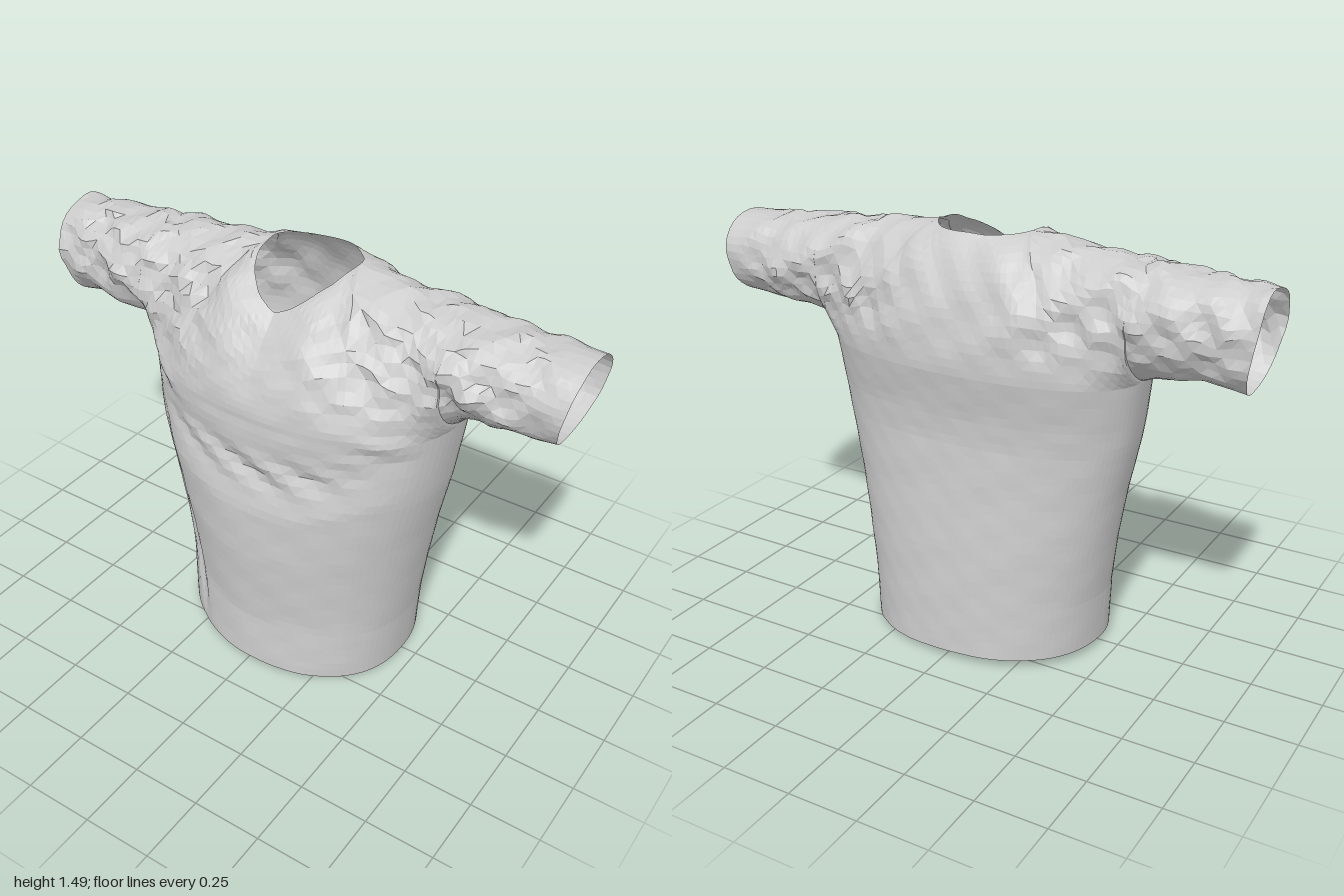
import * as THREE from 'three';

const { lerp, smoothstep, clamp } = THREE.MathUtils;
const ARMPIT_Y = 1.05, ARMPIT_X = 0.585, NECK = 0.172, NECK_T = 0.6, AXIS_Z = -0.065;

// Piecewise-linear profile lookup: pairs of [position, value].
function sample(table, v) {
  for (let i = 1; i < table.length; i++) {
    const [a, p] = table[i - 1], [b, q] = table[i];
    if (v <= b) return lerp(p, q, clamp((v - a) / (b - a), 0, 1));
  }
  return table[table.length - 1][1];
}

const HALF_WIDTH = [[0, 0.44], [0.2, 0.452], [0.4, 0.478], [0.6, 0.51], [0.8, 0.55], [1.05, 0.585]];
const FRONT_Z = [[0, 0.372], [0.2, 0.358], [0.5, 0.372], [0.7, 0.368], [0.84, 0.335], [1, 0.343], [1.05, 0.338]];
const BACK_Z = [[0, -0.372], [0.2, -0.36], [0.4, -0.345], [0.6, -0.325], [0.8, -0.31], [0.9, -0.315], [1.05, -0.338]];
const SHOULDER_Y = [[0, 1.495], [0.17, 1.493], [0.4, 1.465], [0.6, 1.445], [0.8, 1.43], [1, 1.42]];
const SLEEVE_LOW_LEFT = [[0, 1.05], [0.1, 1.09], [0.3, 1.115], [1, 1.135]];
const SLEEVE_LOW_RIGHT = [[0, 1.05], [0.15, 1.07], [0.6, 1.1], [1, 1.075]];

// Cloth wrinkles, a function of position only so neighbouring panels stay joined.
function crumple(p) {
  const { x, y, z } = p, ax = Math.abs(x);
  const n = (a, b, c, d) => Math.sin(a * x + b * y + d) * Math.cos(c * z - 0.6 * a * y + d * 2.1);
  const upper = smoothstep(y, 1.05, 1.25);
  const cuff = 1 - 0.8 * smoothstep(x, 0.8, 0.95) - 0.5 * smoothstep(-x, 0.88, 1);
  const rough = 0.001 + upper * cuff * (0.003 + 0.01 * smoothstep(ax, 0.1, 0.4));
  const arc = Math.exp(-(((y - 0.86 - 0.9 * x * x) / 0.08) ** 2)) * smoothstep(z, 0, 0.2);
  const pull = Math.exp(-(((x + 0.22 + 0.25 * y) / 0.025) ** 2)) * smoothstep(z, 0, 0.15)
    * smoothstep(y, 0, 0.2) * (1 - smoothstep(y, 0.7, 0.95));
  p.z += rough * (n(19, 27, 23, 1) + 0.8 * n(41, -30, 35, 2.3)) + 0.012 * arc * n(23, 45, 5, 0.4) - 0.018 * pull;
  p.y += upper * rough * 0.6 * (n(31, 15, 27, 3.1) + 0.7 * n(49, 22, 37, 0.7));
  return p;
}

// Point on the tube of the body; t runs from one side seam (-1) to the other (1).
function bodyPoint(t, y, side) {
  const x = t * sample(HALF_WIDTH, y);
  const depth = side > 0 ? sample(FRONT_Z, y - 0.6 * x * x) : sample(BACK_Z, y);
  const seam = lerp(0, AXIS_Z, y / ARMPIT_Y);
  // The cloth is pulled in at the lower right of the front
  const power = side > 0 && t < 0 ? lerp(1.8, 2.25, smoothstep(y, 0.3, ARMPIT_Y)) : 2.25;
  const round = Math.pow(Math.max(0, 1 - Math.abs(t) ** power), 1 / power);
  return new THREE.Vector3(x, y, lerp(seam, depth, round));
}

function torsoPoint(t, v, side) {
  const p = bodyPoint(t, v * ARMPIT_Y, side);
  p.y += (0.026 - 0.034 * p.x - 0.045 * p.x * p.x) * (1 - v);
  return crumple(p);
}

function bezier(a, b, c, d, v) {
  const u = 1 - v;
  return u * u * u * a + 3 * u * u * v * b + 3 * u * v * v * c + v * v * v * d;
}

// Arch from the chest line up to the neckline or shoulder ridge; columns fan in to the neck.
function yokePoint(t, v, side) {
  const base = bodyPoint(t, ARMPIT_Y, side), at = Math.abs(t);
  const angle = Math.min(1, at / NECK_T) * Math.PI / 2;
  const k = Math.cos(angle);
  const ax = at < NECK_T ? NECK * Math.sin(angle) : lerp(NECK, ARMPIT_X, (at - NECK_T) / (1 - NECK_T));
  const topX = Math.sign(t) * ax;
  const drop = at < NECK_T ? 1 - (ax / NECK) ** 1.3 : 0;
  const topZ = AXIS_Z + k * (side > 0 ? 0.23 : -0.12);
  const topY = sample(SHOULDER_Y, ax) - (side > 0 ? 0.125 * drop : 0.008 * k);
  const w = at ** 5;
  const reach = side * (side > 0 ? 0.31 : 0.255);
  const z1 = lerp(base.z + side * 0.01, AXIS_Z + reach * 0.8, w);
  const y1 = lerp(ARMPIT_Y + (side > 0 ? 0.1 : 0.14), ARMPIT_Y + 0.06, w);
  const z2 = topZ + lerp(lerp(side * 0.2, side * 0.08, k * k), reach, w);
  const y2 = topY - lerp(lerp(0.03, 0.07, k * k), 0, w);
  return crumple(new THREE.Vector3(
    bezier(base.x, base.x, lerp(topX, base.x, 0.45), topX, v),
    bezier(base.y, y1, y2, topY, v),
    bezier(base.z, z1, z2, topZ, v)));
}

// Half of a sleeve ring; q runs from armpit (0) to cuff (1).
function sleevePoint(q, v, side, dir) {
  const x = lerp(ARMPIT_X, 1, q);
  const low = sample(dir > 0 ? SLEEVE_LOW_LEFT : SLEEVE_LOW_RIGHT, q);
  const high = sample(SHOULDER_Y, x);
  const front = lerp(0.31, 0.225, Math.min(1, q * (dir > 0 ? 1.8 : 1.3)));
  const back = lerp(0.255, dir > 0 ? 0.225 : 0.165, q);
  const reach = side * (side > 0 ? front : back);
  // The ring is pointed at the armpit and becomes round along the sleeve
  const open = Math.min(1, q * 2.5);
  const z = bezier(AXIS_Z, AXIS_Z + reach * lerp(0.8, 1, open), AXIS_Z + reach, AXIS_Z, v);
  const y = bezier(low, low + lerp(0.06, 0, open), high, high, v);
  const slant = 0.055 * q * ((high - y) / (high - low)) ** 1.5;
  return crumple(new THREE.Vector3(dir * (x - slant), y, z));
}

// Grid of points over columns and rows, wound outward.
function panel(columns, rows, point, flip) {
  const pos = [], index = [], n = rows + 1;
  for (const c of columns) for (let j = 0; j <= rows; j++) pos.push(...point(c, j / rows).toArray());
  for (let i = 0; i < columns.length - 1; i++) {
    for (let j = 0; j < rows; j++) {
      const a = i * n + j, b = a + n;
      // Alternate the diagonals for an irregular folded look
      const tri = (i + j) % 2 ? [a, b, b + 1, a, b + 1, a + 1] : [a, b, a + 1, b, b + 1, a + 1];
      if (flip) tri.reverse();
      index.push(...tri);
    }
  }
  const g = new THREE.BufferGeometry();
  g.setAttribute('position', new THREE.Float32BufferAttribute(pos, 3));
  g.setIndex(index);
  g.computeVertexNormals();
  return g;
}

export function createModel() {
  const shirt = new THREE.Group();
  shirt.name = 'shirt';
  const cloth = new THREE.MeshStandardMaterial({ color: 0xcccccc, flatShading: true, side: THREE.DoubleSide });
  const add = (name, geometry) => {
    const mesh = new THREE.Mesh(geometry, cloth);
    mesh.name = name;
    shirt.add(mesh);
  };

  // Columns are even across the neck and bunch up at the side seams
  const half = [];
  for (let i = 0; i <= 14; i++) half.push(NECK_T * i / 14);
  for (let i = 1; i <= 16; i++) half.push(lerp(NECK_T, 1, Math.sin(i / 16 * Math.PI / 2)));
  const across = [...half.slice(1).reverse().map(t => -t), ...half];
  const along = Array.from({ length: 19 }, (_, i) => i / 18);

  for (const [label, side] of [['Front', 1], ['Back', -1]]) {
    add('torso' + label, panel(across, 32, (t, v) => torsoPoint(t, v, side), side < 0));
    add('yoke' + label, panel(across, 16, (t, v) => yokePoint(t, v, side), side < 0));
    for (const [hand, dir] of [['left', 1], ['right', -1]]) {
      add(hand + 'Sleeve' + label, panel(along, 16, (q, v) => sleevePoint(q, v, side, dir), side * dir < 0));
    }
  }
  return shirt;
}
